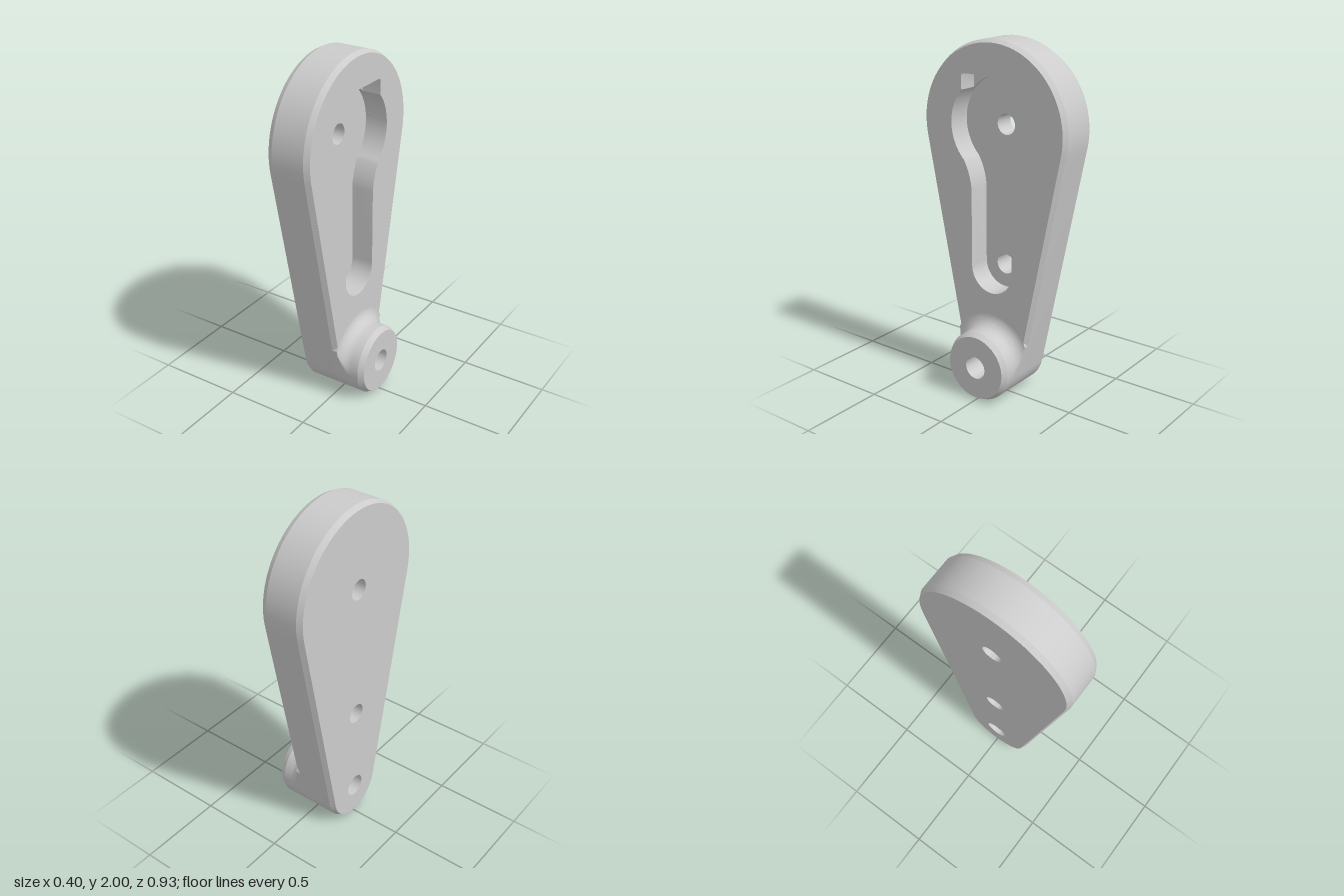
import * as THREE from 'three';
import { toCreasedNormals } from 'three/addons/utils/BufferGeometryUtils.js';

// Profiles are drawn in (u, y) with depth d; the result is turned so d runs along +x.
const BIG = { y: 1.535, r: 0.465 }, SMALL = { y: 0.2, r: 0.2 };
const TILT = Math.asin((BIG.r - SMALL.r) / (BIG.y - SMALL.y));
const BACK = -0.2, FRONT = 0.05, FLOOR = -0.083, LEDGE = -0.06;
const BORE = 0.065, PIN = 0.058, SLOT = 0.136, SLOT_Y = 0.736, DISC = 0.272;
const V = (x, y) => new THREE.Vector2(x, y);

function arc(cy, r, a0, a1, n) {
  return Array.from({ length: n + 1 }, (_, i) => {
    const a = a0 + (a1 - a0) * i / n;
    return V(r * Math.cos(a), cy + r * Math.sin(a));
  });
}
const circle = (cy, r, n = 40) => arc(cy, r, 0, Math.PI * 2, n).slice(0, -1);
const mirror = pts => pts.map(p => V(-p.x, p.y)).reverse();

// Teardrop outline, inset evenly
const outline = inset => [
  ...arc(BIG.y, BIG.r - inset, -TILT, Math.PI + TILT, 56),
  ...arc(SMALL.y, SMALL.r - inset, Math.PI + TILT, Math.PI * 2 - TILT, 36),
];

// Keyhole recess outline; the front layer adds a square notch at the top
function keyhole(notched) {
  const a = 0.806, b = Math.acos(0.2 / DISC);
  const neck = new THREE.QuadraticBezierCurve(
    V(SLOT, 1.18), V(0.142, 1.26), V(DISC * Math.cos(a), BIG.y - DISC * Math.sin(a))).getPoints(8);
  const half = [...arc(SLOT_Y, SLOT, -Math.PI / 2, 0, 14), ...neck];
  if (notched) {
    half.push(...arc(BIG.y, DISC, -a, b, 24).slice(1), V(0.2, 1.795), V(0.195, 1.807), V(0.185, 1.81));
  } else {
    half.push(...arc(BIG.y, DISC, -a, Math.PI / 2, 36).slice(1, -1), V(0, BIG.y + DISC));
  }
  const other = mirror(half).slice(notched ? 0 : 1, -1);
  return [...half, ...other];
}

function mesh(name, geometry) {
  geometry.rotateY(Math.PI / 2);
  const m = new THREE.Mesh(geometry, new THREE.MeshStandardMaterial({ color: 0xcccccc }));
  m.name = name;
  return m;
}

// Skin through closed loops [points, depth]; inward turns the faces round
function skin(name, loops, inward = false) {
  const pos = [], idx = [], n = loops[0][0].length;
  for (const [pts, d] of loops) for (const p of pts) pos.push(p.x, p.y, d);
  for (let k = 0; k < loops.length - 1; k++) {
    for (let i = 0; i < n; i++) {
      const a = k * n + i, b = k * n + (i + 1) % n, c = a + n, e = b + n;
      if (inward) idx.push(a, c, b, b, c, e);
      else idx.push(a, b, c, b, e, c);
    }
  }
  const g = new THREE.BufferGeometry();
  g.setAttribute('position', new THREE.Float32BufferAttribute(pos, 3));
  g.setIndex(idx);
  return mesh(name, toCreasedNormals(g, 0.4));
}

// Flat face with holes at depth d
function face(name, pts, holes, d, back = false) {
  const shape = new THREE.Shape(pts);
  shape.holes = holes.map(h => new THREE.Path(h));
  const g = new THREE.ShapeGeometry(shape);
  if (back) {
    const i = g.index.array;
    for (let k = 0; k < i.length; k += 3) [i[k], i[k + 1]] = [i[k + 1], i[k]];
    g.computeVertexNormals();
  }
  g.translate(0, 0, d);
  return mesh(name, g);
}

// Boss ring, kept within the sides of the arm
function bossRing(r) {
  const n = 96;
  return Array.from({ length: n }, (_, i) => {
    const a = i / n * Math.PI * 2;
    const u = Math.abs(Math.cos(a)), s = Math.sin(a);
    const angle = Math.atan2(s, u) + TILT;
    const limit = angle <= 0 ? SMALL.r : SMALL.r / Math.max(Math.cos(angle), 0.05);
    const q = Math.min(r, limit);
    return V(q * Math.cos(a), SMALL.y + q * s);
  });
}

export function createModel() {
  const group = new THREE.Group();
  const pocket = keyhole(false), opening = keyhole(true);
  const pins = [circle(BIG.y, PIN), circle(SLOT_Y, PIN)];
  const bore = circle(SMALL.y, BORE, 96);

  // Arm with chamfered rims
  const edge = outline(0.015), full = outline(0);
  group.add(
    skin('armSide', [[edge, BACK], [full, BACK + 0.03], [full, FRONT - 0.03], [edge, FRONT]]),
    face('armBack', edge, [...pins, bore], BACK, true),
    face('armFront', edge, [opening, bore], FRONT),
  );

  // Keyhole recess and its shallower notch
  const b = Math.acos(0.2 / DISC);
  const ledge = [V(0.2, 1.795), V(0.195, 1.807), V(0.185, 1.81),
    V(-0.185, 1.81), V(-0.195, 1.807), V(-0.2, 1.795),
    ...arc(BIG.y, DISC, Math.PI - b, b, 24)];
  group.add(
    skin('recessLowerWall', [[pocket, FLOOR], [pocket, LEDGE]], true),
    skin('recessUpperWall', [[opening, LEDGE], [opening, FRONT]], true),
    face('recessFloor', pocket, pins, FLOOR),
    face('notchFloor', ledge, [], LEDGE),
  );
  for (const p of pins) group.add(skin('pinHole', [[p, BACK], [p, FLOOR]], true));

  // Boss: fillet, barrel, chamfer, end face and through bore
  const f = 0.07, rings = [[bossRing(SMALL.r + f), FRONT - 0.04]];
  for (let i = 0; i <= 10; i++) {
    const a = i / 10 * Math.PI / 2;
    rings.push([bossRing(SMALL.r + f * (1 - Math.sin(a))), FRONT + f * (1 - Math.cos(a))]);
  }
  rings.push([bossRing(SMALL.r), 0.167], [bossRing(0.183), 0.2], [bossRing(BORE), 0.2], [bossRing(BORE), BACK]);
  group.add(skin('boss', rings));
  return group;
}
